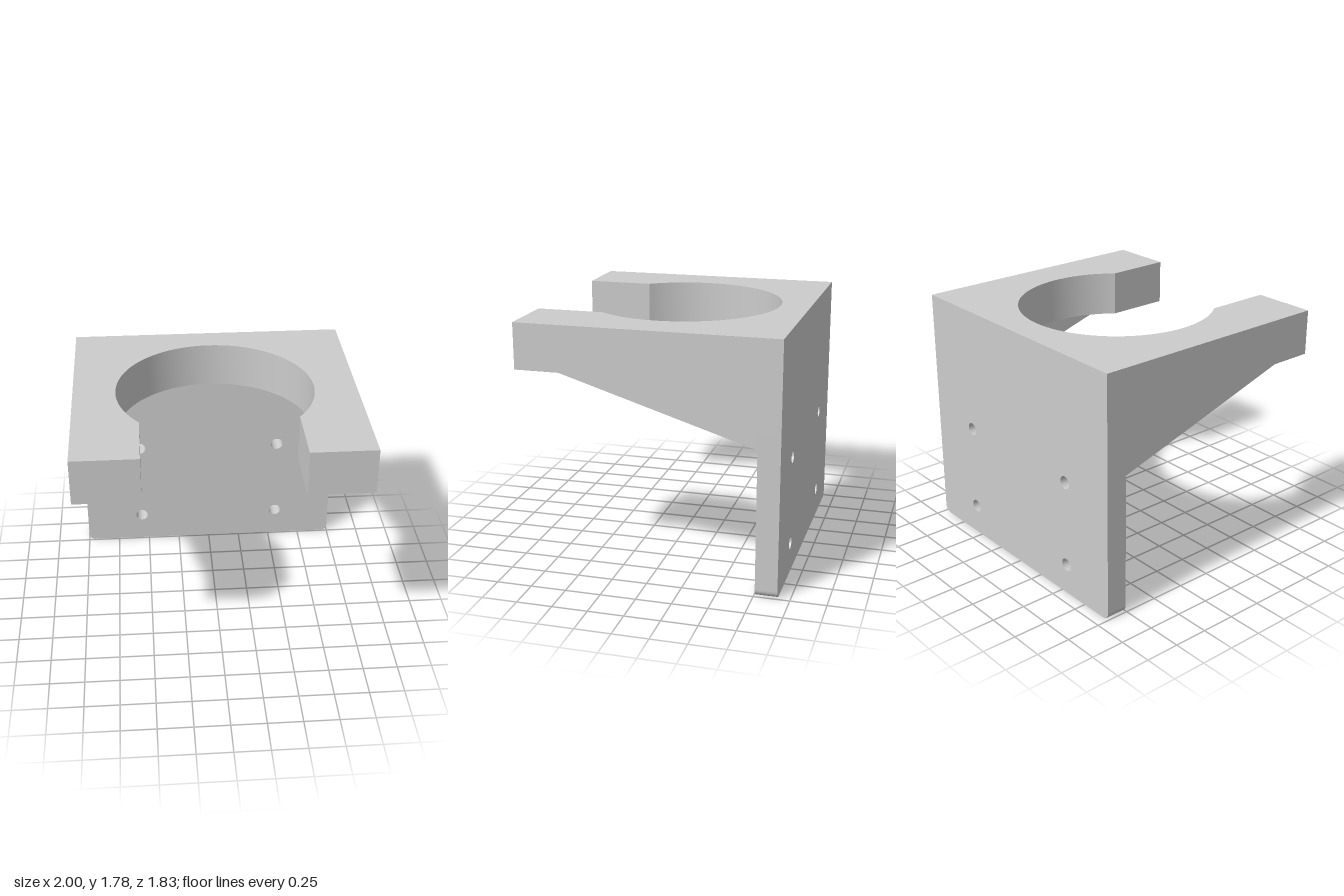
import * as THREE from 'three';
import { toCreasedNormals } from 'three/addons/utils/BufferGeometryUtils.js';

const TOP = 1.785, UNDER = 1.46;      // shelf top and underside
const BACK = -0.915, FRONT = 0.915;   // depth limits
const WALL = 0.155;                   // back plate thickness

export function createModel() {
  const group = new THREE.Group();
  const material = new THREE.MeshStandardMaterial({ color: 0xcccccc });

  const extrude = (shape, depth) => new THREE.ExtrudeGeometry(shape, { depth, bevelEnabled: false, curveSegments: 48 });
  const add = (name, geometry) => {
    const mesh = new THREE.Mesh(toCreasedNormals(geometry, 0.5), material);
    mesh.name = name;
    group.add(mesh);
  };

  // Back plate with rounded lower corners and four screw holes
  const r = 0.05;
  const plate = new THREE.Shape();
  plate.moveTo(-1, UNDER);
  plate.lineTo(-1, r);
  plate.absarc(-1 + r, r, r, Math.PI, Math.PI * 1.5, false);
  plate.lineTo(1 - r, 0);
  plate.absarc(1 - r, r, r, -Math.PI / 2, 0, false);
  plate.lineTo(1, UNDER);
  plate.closePath();
  for (const x of [-0.553, 0.553]) {
    for (const y of [0.225, 0.863]) {
      plate.holes.push(new THREE.Path().absarc(x, y, 0.047, 0, Math.PI * 2, true));
    }
  }
  add('backPlate', extrude(plate, WALL).translate(0, 0, BACK));

  // Shelf with a round cutout open to the front (shape y is -z)
  const R = 0.7, slot = 0.543;
  const mouth = Math.sqrt(R * R - slot * slot);
  const shelf = new THREE.Shape();
  shelf.moveTo(-1, -FRONT);
  shelf.lineTo(-slot, -FRONT);
  shelf.lineTo(-slot, -mouth);
  shelf.absarc(0, 0, R, Math.atan2(-mouth, -slot), Math.atan2(-mouth, slot), true);
  shelf.lineTo(slot, -FRONT);
  shelf.lineTo(1, -FRONT);
  shelf.lineTo(1, -BACK);
  shelf.lineTo(-1, -BACK);
  shelf.closePath();
  add('shelf', extrude(shelf, TOP - UNDER).rotateX(-Math.PI / 2).translate(0, UNDER, 0));

  // Triangular side braces (shape x is z, extruded along -x)
  const width = 0.21;
  const brace = new THREE.Shape([
    new THREE.Vector2(BACK + WALL, 1.04),
    new THREE.Vector2(0.6, UNDER),
    new THREE.Vector2(BACK + WALL, UNDER),
  ]);
  for (const [name, x] of [['leftBrace', 1], ['rightBrace', -1 + width]]) {
    add(name, extrude(brace, width).rotateY(-Math.PI / 2).translate(x, 0, 0));
  }
  return group;
}
